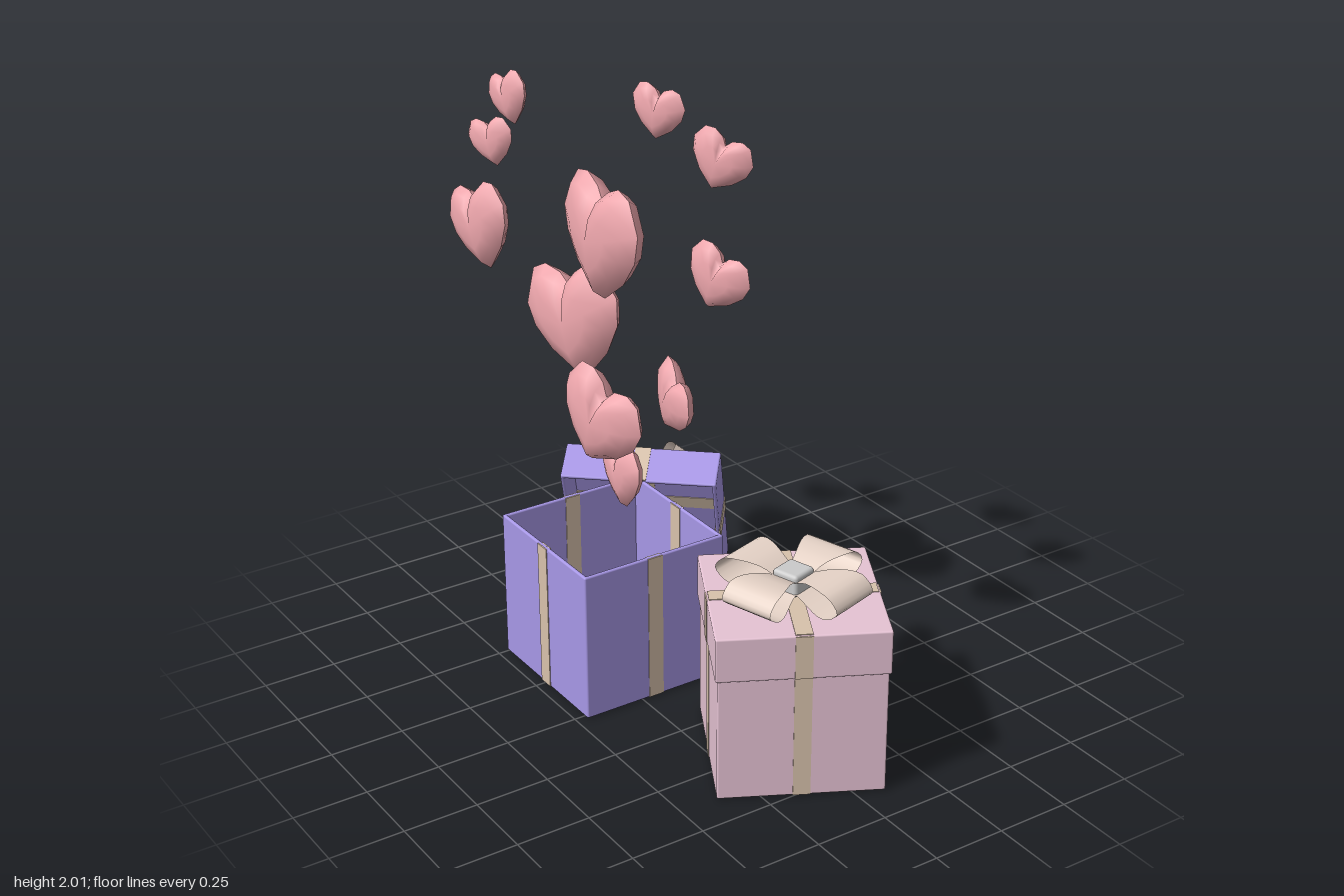
import * as THREE from 'three';
import { RoundedBoxGeometry } from 'three/addons/geometries/RoundedBoxGeometry.js';
import { ParametricGeometry } from 'three/addons/geometries/ParametricGeometry.js';

const mat = (color, side = THREE.FrontSide) => new THREE.MeshStandardMaterial({ color, side });
const pink = mat(0xe6c3d4), purple = mat(0xa797e6), heartRed = mat(0xf0a8ae);
const ribbonMat = mat(0xd8c2ac), bowMat = mat(0xe6d3c7, THREE.DoubleSide), grey = mat(0xcccccc);
const WALL = 0.014, BAND = 0.055, PROUD = 0.005;

function add(parent, name, geometry, material, x = 0, y = 0, z = 0) {
  const mesh = new THREE.Mesh(geometry, material);
  mesh.name = name;
  mesh.position.set(x, y, z);
  parent.add(mesh);
  return mesh;
}

// Hollow square shell: four walls and one plate (floor or top), with ribbon bands on every face
function shell(name, size, height, plateOnTop, material) {
  const group = new THREE.Group();
  group.name = name;
  const plateY = plateOnTop ? height - WALL / 2 : WALL / 2;
  const edge = (w, h, d) => new RoundedBoxGeometry(w, h, d, 2, WALL * 0.45);
  add(group, 'plate', edge(size, WALL, size), material, 0, plateY, 0);
  for (let i = 0; i < 4; i++) {
    const side = new THREE.Group();
    side.name = 'side';
    side.rotation.y = i * Math.PI / 2;
    const z = (size - WALL) / 2;
    add(side, 'wall', edge(size, height, WALL), material, 0, height / 2, z);
    add(side, 'ribbonBand', new THREE.BoxGeometry(BAND, height - 0.004, WALL + PROUD), ribbonMat, 0, height / 2, z);
    group.add(side);
  }
  const length = size - 0.012;
  add(group, 'ribbonBandAcross', new THREE.BoxGeometry(length, WALL + PROUD, BAND), ribbonMat, 0, plateY, 0);
  add(group, 'ribbonBandAlong', new THREE.BoxGeometry(BAND, WALL + PROUD, length), ribbonMat, 0, plateY, 0);
  return group;
}

// One bow loop: a ribbon strip that widens outward, curls over and returns to the knot
function loopGeometry(innerWidth) {
  const path = new THREE.CatmullRomCurve3([
    [0.02, 0.03], [0.1, 0.012], [0.19, 0.01], [0.235, 0.045],
    [0.2, 0.088], [0.11, 0.09], [0.02, 0.055],
  ].map(([r, y]) => new THREE.Vector3(r, y, 0)));
  return new ParametricGeometry((u, v, out) => {
    path.getPoint(u, out);
    const t = THREE.MathUtils.smoothstep(out.x, 0.03, 0.2);
    out.z = (v - 0.5) * THREE.MathUtils.lerp(innerWidth, 0.185, t);
  }, 22, 2);
}

// Four loops on the diagonals with a knot in the middle
function bow(innerWidth, knotSize, knotMat) {
  const group = new THREE.Group();
  group.name = 'bow';
  const geometry = loopGeometry(innerWidth);
  for (let i = 0; i < 4; i++) {
    add(group, 'bowLoop', geometry, bowMat).rotation.y = Math.PI / 4 + i * Math.PI / 2;
  }
  const knot = new RoundedBoxGeometry(knotSize, 0.075, knotSize, 2, 0.012);
  add(group, 'knot', knot, knotMat, 0, 0.048, 0).rotation.y = Math.PI / 4;
  return group;
}

function lid(material, ...bowArgs) {
  const group = shell('lid', 0.54, 0.15, true, material);
  const top = bow(...bowArgs);
  top.position.y = 0.15;
  group.add(top);
  return group;
}

// Puffy heart one unit wide, facing z: rings shrinking from the rim to both faces
function heartGeometry() {
  const half = [[0.08, 0.37], [0.23, 0.435], [0.38, 0.4], [0.5, 0.18], [0.45, -0.03], [0.28, -0.24]];
  const outline = [[0, 0.26], ...half, [0, -0.436], ...half.map(([x, y]) => [-x, y]).reverse()];
  const rings = [[1, 0], [0.83, 0.6], [0.5, 0.92]];
  const n = outline.length, thick = 0.155, positions = [], index = [];
  for (const face of [1, -1]) {
    const base = positions.length / 3;
    for (const [scale, depth] of rings) {
      outline.forEach(([x, y], i) => {
        const groove = i === 0 ? 0.65 : 1;
        positions.push(x * scale, y * scale, face * depth * thick * groove);
      });
    }
    positions.push(0, 0, face * thick);
    const tri = (a, b, c) => index.push(base + a, base + (face > 0 ? c : b), base + (face > 0 ? b : c));
    for (let i = 0; i < n; i++) {
      const j = (i + 1) % n;
      for (let r = 0; r < rings.length - 1; r++) {
        const a = r * n + i, b = r * n + j;
        tri(a, b, b + n);
        tri(a, b + n, a + n);
      }
      const last = (rings.length - 1) * n;
      tri(last + i, last + j, rings.length * n);
    }
  }
  const geometry = new THREE.BufferGeometry();
  geometry.setAttribute('position', new THREE.Float32BufferAttribute(positions, 3));
  geometry.setIndex(index);
  geometry.computeVertexNormals();
  return geometry;
}

export function createModel() {
  const model = new THREE.Group();
  model.name = 'giftBoxesWithHearts';

  // Closed pink gift
  const closed = new THREE.Group();
  closed.name = 'closedGift';
  closed.position.set(-0.018, 0, 0.53);
  closed.rotation.y = -0.49;
  closed.add(shell('box', 0.526, 0.53, false, pink));
  const closedLid = lid(pink, 0.09, 0.095, grey);
  closedLid.position.y = 0.42;
  closed.add(closedLid);
  model.add(closed);

  // Open purple gift
  const open = shell('openBox', 0.53, 0.52, false, purple);
  open.position.set(-0.2, 0, -0.24);
  model.add(open);

  // Its lid, leaning behind the box
  const leaning = lid(purple, 0.06, 0.06, bowMat);
  leaning.name = 'leaningLid';
  leaning.position.set(0.113, 0.276, -0.542);
  leaning.rotation.set(1.152, 2.416, 0, 'YXZ');
  model.add(leaning);

  // Floating hearts: x, y, z, width, yaw slope, roll
  const heart = heartGeometry();
  const hearts = [
    [0.0, 1.84, 0.095, 0.215, 0.5, 0.33],
    [-0.012, 1.91, -0.23, 0.2, 0.4, 0.1],
    [-0.322, 1.91, -0.615, 0.195, 0.1, -0.35],
    [-0.308, 1.72, -0.765, 0.185, 0.4, -0.25],
    [-0.42, 1.49, -0.65, 0.32, 0.07, -0.35],
    [-0.07, 1.505, 0.185, 0.235, 0.33, 0.33],
    [-0.21, 1.527, -0.24, 0.455, -0.08, 0],
    [-0.308, 1.21, 0.31, 0.25, -0.26, 0.33],
    [-0.353, 1.02, -0.04, 0.355, 0.16, 0.3],
    [-0.113, 1.11, -0.585, 0.45, 0.2, -0.25],
    [-0.095, 0.635, -0.33, 0.25, -0.1, -0.2],
  ];
  for (const [x, y, z, width, slope, roll] of hearts) {
    const mesh = add(model, 'heart', heart, heartRed, x, y, z);
    mesh.scale.setScalar(width);
    mesh.rotation.set(0, Math.PI / 2 + Math.atan(slope), roll);
  }
  return model;
}
